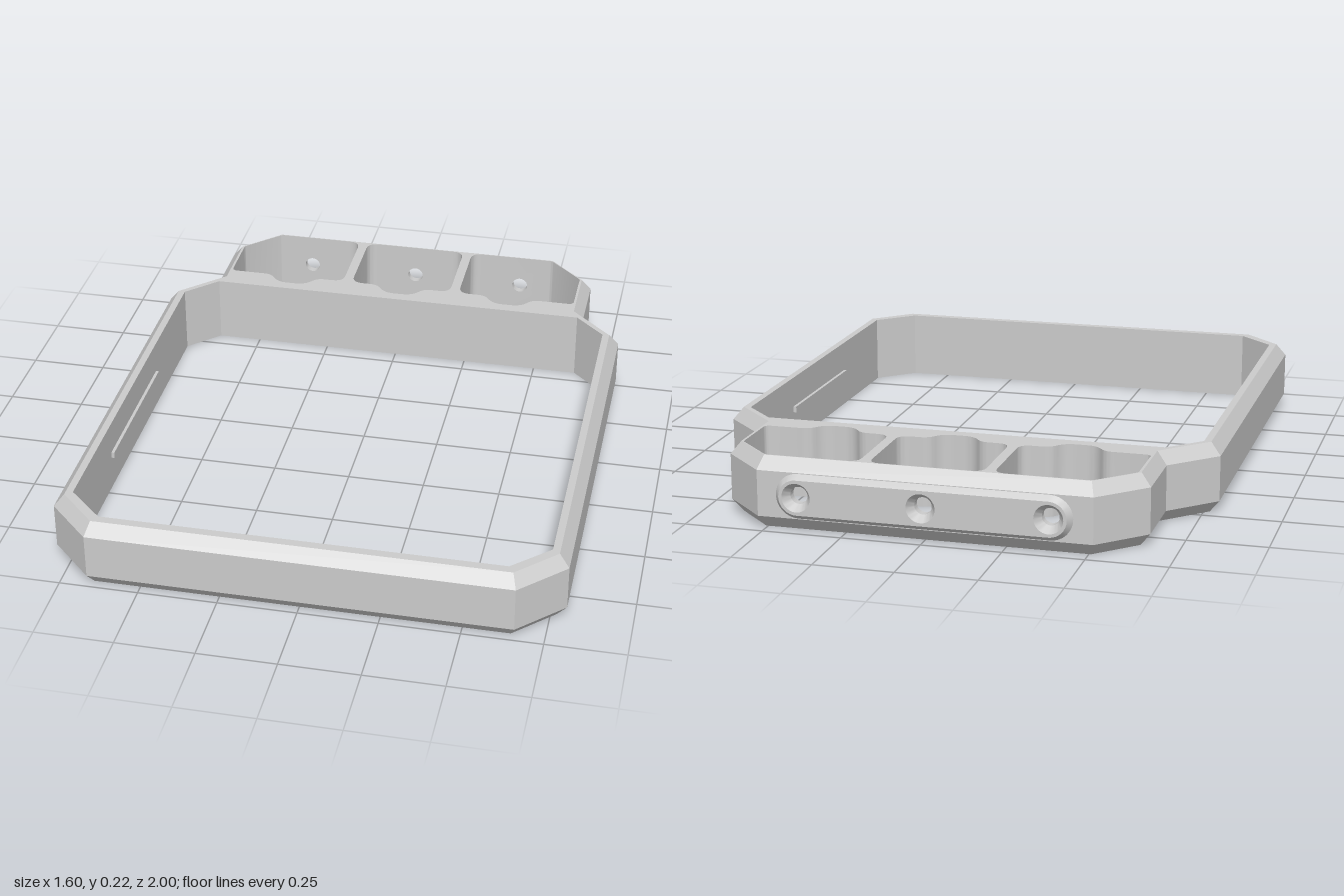
import * as THREE from 'three';
import { mergeGeometries, toCreasedNormals } from 'three/addons/utils/BufferGeometryUtils.js';

const H = 0.225, CHAMFER = 0.04, MID = H / 2;
const BACK = 0.98, PAD = 1, POCKET_BACK = 0.945;
const HOLE_X = [-0.39, 0, 0.39];
const material = new THREE.MeshStandardMaterial({ color: 0xcccccc });

const vec = (x, y) => new THREE.Vector2(x, y);
// Closes a half outline (x >= 0, counter-clockwise) with its mirror image
const mirrored = half => [...half, ...half.map(p => vec(-p.x, p.y)).reverse()];
const clockwise = loop => THREE.ShapeUtils.isClockWise(loop) ? loop : [...loop].reverse();

// Wall between two matching loops; edges lying on y = skipY stay open
function loft(lower, z0, upper, z1, skipY = null) {
  const pos = [];
  const on = p => skipY !== null && Math.abs(p.y - skipY) < 1e-4;
  lower.forEach((a, i) => {
    const j = (i + 1) % lower.length, b = lower[j], c = upper[j], d = upper[i];
    if (on(a) && on(b)) return;
    pos.push(a.x, a.y, z0, b.x, b.y, z0, c.x, c.y, z1, a.x, a.y, z0, c.x, c.y, z1, d.x, d.y, z1);
  });
  return new THREE.BufferGeometry().setAttribute('position', new THREE.Float32BufferAttribute(pos, 3));
}

// Flat face with holes at height z
function plate(outline, holes, z, flip = false) {
  const shape = new THREE.Shape(outline);
  shape.holes = holes.map(h => new THREE.Path(h));
  let g = new THREE.ShapeGeometry(shape);
  if (flip) g.index.array.reverse();
  g = g.toNonIndexed();
  g.deleteAttribute('uv');
  g.deleteAttribute('normal');
  return g.translate(0, 0, z);
}

// Moves every edge of a counter-clockwise outline inwards by d
function inset(loop, d) {
  const n = loop.length;
  return loop.map((p, i) => {
    const e = p.clone().sub(loop[(i + n - 1) % n]).normalize();
    const f = loop[(i + 1) % n].clone().sub(p).normalize();
    const a = vec(-e.y, e.x), b = vec(-f.y, f.x);
    return p.clone().add(a.clone().add(b).multiplyScalar(d / (1 + a.dot(b))));
  });
}

// Polygon of [x, y, cut] corners, each rounded over the length cut
function rounded(corners) {
  const shape = new THREE.Shape(), n = corners.length;
  corners.forEach(([x, y, r], i) => {
    const p = vec(x, y);
    const toward = k => {
      const q = vec(corners[k][0], corners[k][1]).sub(p).setLength(r);
      return q.add(p);
    };
    const s = toward((i + n - 1) % n), e = toward((i + 1) % n);
    i ? shape.lineTo(s.x, s.y) : shape.moveTo(s.x, s.y);
    shape.quadraticCurveTo(x, y, e.x, e.y);
  });
  return clockwise(shape.getPoints(8));
}

const circle = (x, y, r) => clockwise(Array.from({ length: 32 }, (_, i) =>
  vec(x + r * Math.cos(i * Math.PI / 16), y + r * Math.sin(i * Math.PI / 16))));
const rect = (x0, x1, y0, y1) => [vec(x0, y0), vec(x1, y0), vec(x1, y1), vec(x0, y1)];

// Long slot outline around the three screw holes
function stadium(r) {
  const pts = [];
  for (const side of [1, -1])
    for (let i = 0; i <= 16; i++) {
      const a = -Math.PI / 2 + i * Math.PI / 16;
      pts.push(vec(side * (0.39 + r * Math.cos(a)), MID + side * r * Math.sin(a)));
    }
  return pts;
}

// Scalloped front edge of a pocket, running towards -x
const scallop = c => [
  [c + 0.085, 0.645, 0.025], [c + 0.05, 0.595, 0.033],
  [c - 0.05, 0.595, 0.033], [c - 0.085, 0.645, 0.025]];

function frameGeometry() {
  // Plan outlines: x and -z
  const outer = mirrored([vec(0.66, -1), vec(0.8, -0.86), vec(0.8, 0.47),
    vec(0.66, 0.61), vec(0.66, 0.84), vec(0.52, BACK)]);
  const rim = inset(outer, 0.032);
  const opening = clockwise(mirrored([vec(0.63, -0.94), vec(0.745, -0.83), vec(0.745, 0.455), vec(0.645, 0.555)]));
  const sidePocket = rounded([[0.62, 0.645, 0.02], ...scallop(0.39), [0.21, 0.645, 0.04],
    [0.21, POCKET_BACK, 0.04], [0.505, POCKET_BACK, 0.01], [0.62, 0.83, 0.01]]);
  const midPocket = rounded([[0.178, 0.645, 0.04], ...scallop(0), [-0.178, 0.645, 0.04],
    [-0.178, POCKET_BACK, 0.04], [0.178, POCKET_BACK, 0.04]]);
  const pockets = [clockwise(sidePocket.map(p => vec(-p.x, p.y))), midPocket, sidePocket];
  const holes = [opening, ...pockets];

  const upright = mergeGeometries([
    loft(rim, 0, outer, CHAMFER),
    loft(outer, CHAMFER, outer, H - CHAMFER, BACK),
    loft(outer, H - CHAMFER, rim, H),
    plate(rim, holes, H),
    plate(rim, holes, 0, true),
    loft(opening, 0, opening, H),
    ...pockets.map(p => loft(p, 0, p, H, POCKET_BACK)),
  ]).rotateX(-Math.PI / 2);

  // Drilled back walls of the pockets
  const walls = pockets.map((p, i) => {
    const xs = p.filter(q => Math.abs(q.y - POCKET_BACK) < 1e-4).map(q => q.x);
    return plate(rect(Math.min(...xs), Math.max(...xs), 0, H), [circle(HOLE_X[i], MID, 0.027)], -POCKET_BACK);
  });
  return mergeGeometries([upright, ...walls]);
}

// Raised back pad with countersunk screw holes
function padGeometry() {
  const base = stadium(0.07), top = stadium(0.055);
  const sink = HOLE_X.map(x => circle(x, MID, 0.045));
  const bore = HOLE_X.map(x => circle(x, MID, 0.027));
  return mergeGeometries([
    plate(rect(-0.52, 0.52, CHAMFER, H - CHAMFER), [base], BACK),
    loft(base, BACK, top, PAD),
    plate(top, sink, PAD),
    ...bore.map((b, i) => loft(b, 0.97, sink[i], PAD)),
    ...bore.map(b => loft(b, POCKET_BACK, b, 0.97)),
  ]).rotateY(Math.PI);
}

export function createModel() {
  const group = new THREE.Group();
  const add = (name, geometry) => {
    const mesh = new THREE.Mesh(geometry, material);
    mesh.name = name;
    group.add(mesh);
    return mesh;
  };
  add('frame', toCreasedNormals(frameGeometry(), 0.5));
  add('backPad', toCreasedNormals(padGeometry(), 0.35));

  // Snap ridges on the inner side walls
  for (const [name, side] of [['leftRidge', 1], ['rightRidge', -1]])
    add(name, new THREE.BoxGeometry(0.02, 0.02, 0.52)).position.set(side * 0.745, 0.115, 0.19);
  return group;
}
